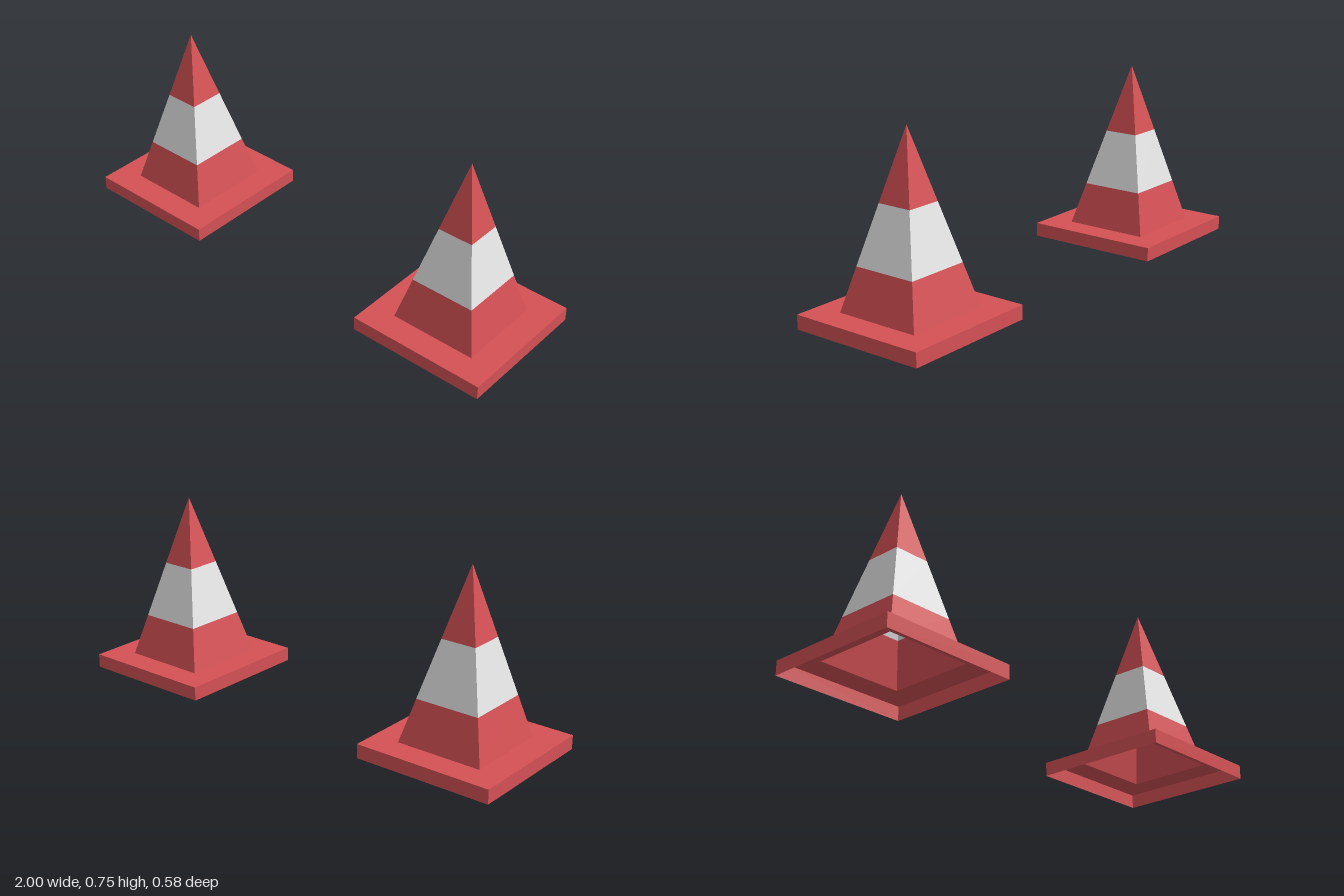
import * as THREE from 'three';

const BASE_HALF = 0.29, BASE_TOP = 0.058;
const CONE_HALF = 0.181, APEX = 0.75;

const options = { flatShading: true, side: THREE.DoubleSide };
const red = new THREE.MeshStandardMaterial({ color: 0xd55155, ...options });
red.name = 'red';
const white = new THREE.MeshStandardMaterial({ color: 0xe6e6e6, ...options });
white.name = 'white';

// Half width of the tapering body at a given height
const halfAt = (y) => CONE_HALF * (APEX - y) / (APEX - BASE_TOP);

// Open four-sided sleeve between two heights
function sleeve(name, y0, y1, half0, half1, material) {
  const geometry = new THREE.CylinderGeometry(
    half1 * Math.SQRT2, half0 * Math.SQRT2, y1 - y0, 4, 1, true);
  geometry.rotateY(Math.PI / 4);
  geometry.translate(0, (y0 + y1) / 2, 0);
  const mesh = new THREE.Mesh(geometry, material);
  mesh.name = name;
  return mesh;
}

const square = (h) => [[-h, -h], [h, -h], [h, h], [-h, h]].map(([x, y]) => new THREE.Vector2(x, y));

function createCone(name) {
  const cone = new THREE.Group();
  cone.name = name;

  // Hollow base: thin skirt and a flat flange with a square opening
  cone.add(sleeve('baseSkirt', 0, BASE_TOP, BASE_HALF, BASE_HALF, red));
  const shape = new THREE.Shape(square(BASE_HALF));
  shape.holes.push(new THREE.Path(square(CONE_HALF).reverse()));
  const flange = new THREE.Mesh(new THREE.ShapeGeometry(shape), red);
  flange.geometry.rotateX(-Math.PI / 2);
  flange.position.y = BASE_TOP;
  flange.name = 'baseFlange';
  cone.add(flange);

  // Hollow pyramid body in three colour bands
  const bands = [
    ['lowerBand', BASE_TOP, 0.232, red],
    ['reflectiveBand', 0.232, 0.466, white],
    ['tip', 0.466, APEX, red],
  ];
  for (const [part, y0, y1, material] of bands) {
    cone.add(sleeve(part, y0, y1, halfAt(y0), halfAt(y1), material));
  }
  return cone;
}

export function createModel() {
  const model = new THREE.Group();
  model.name = 'trafficCones';
  for (const [name, x] of [['leftCone', 0.71], ['rightCone', -0.71]]) {
    const cone = createCone(name);
    cone.position.x = x;
    model.add(cone);
  }
  return model;
}
